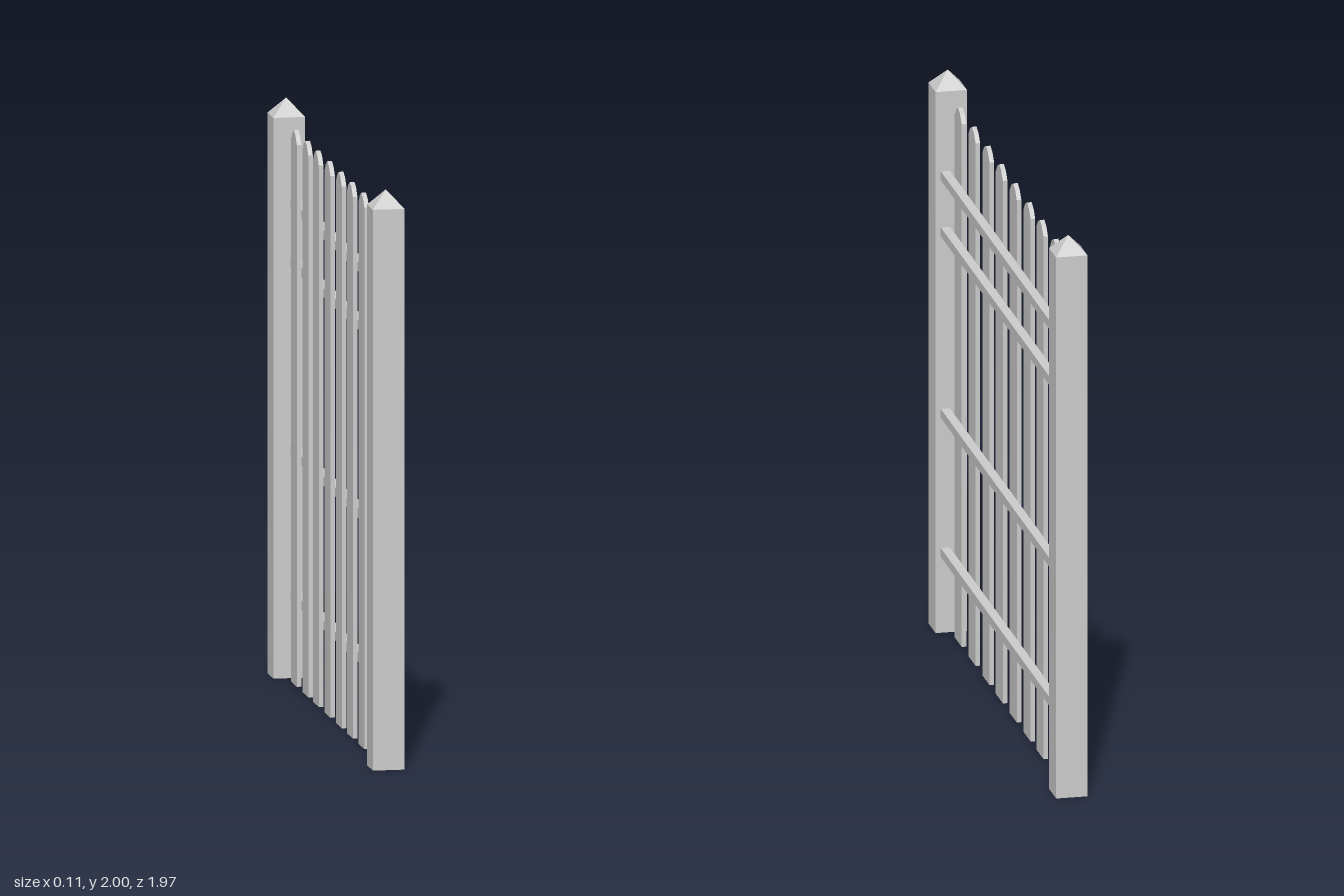
import * as THREE from 'three';

const material = new THREE.MeshStandardMaterial({ color: 0xcccccc, flatShading: true });

function addMesh(parent, geometry, name, x, y, z) {
  const mesh = new THREE.Mesh(geometry, material);
  mesh.name = name;
  mesh.position.set(x, y, z);
  parent.add(mesh);
  return mesh;
}

// Flat board with a softly pointed top, facing +x, bottom at y = 0
function picketGeometry(width, height, depth) {
  const h = width / 2;
  const shape = new THREE.Shape();
  shape.moveTo(-h, 0);
  shape.lineTo(h, 0);
  shape.lineTo(h, height - 0.042);
  shape.lineTo(h * 0.55, height - 0.014);
  shape.lineTo(0, height);
  shape.lineTo(-h * 0.55, height - 0.014);
  shape.lineTo(-h, height - 0.042);
  shape.closePath();
  return new THREE.ExtrudeGeometry(shape, { depth, bevelEnabled: false }).rotateY(Math.PI / 2);
}

export function createModel() {
  const fence = new THREE.Group();
  fence.name = 'fence';

  // Square end posts with pyramid caps
  const postWidth = 0.11, bodyHeight = 1.94;
  const bodyGeometry = new THREE.BoxGeometry(postWidth, bodyHeight, postWidth);
  const capGeometry = new THREE.ConeGeometry(postWidth / Math.SQRT2, 2 - bodyHeight, 4, 1, true).rotateY(Math.PI / 4);
  for (const [name, z] of [['frontPost', 0.929], ['backPost', -0.929]]) {
    const post = new THREE.Group();
    post.name = name;
    post.position.z = z;
    addMesh(post, bodyGeometry, 'postBody', 0, bodyHeight / 2, 0);
    addMesh(post, capGeometry, 'postCap', 0, (2 + bodyHeight) / 2, 0);
    fence.add(post);
  }

  // Upright pickets
  const board = picketGeometry(0.11, 1.916, 0.016);
  [0.747, 0.533, 0.318, 0.112, -0.102, -0.316, -0.513, -0.727].forEach((z, i) => {
    addMesh(fence, board, `picket${i + 1}`, -0.011, 0.005, z);
  });

  // Horizontal rails across the pickets
  const railGeometry = new THREE.BoxGeometry(0.032, 0.032, 1.76);
  [0.288, 0.787, 1.438, 1.639].forEach((y, i) => {
    addMesh(fence, railGeometry, `rail${i + 1}`, 0.021, y, 0);
  });

  return fence;
}
